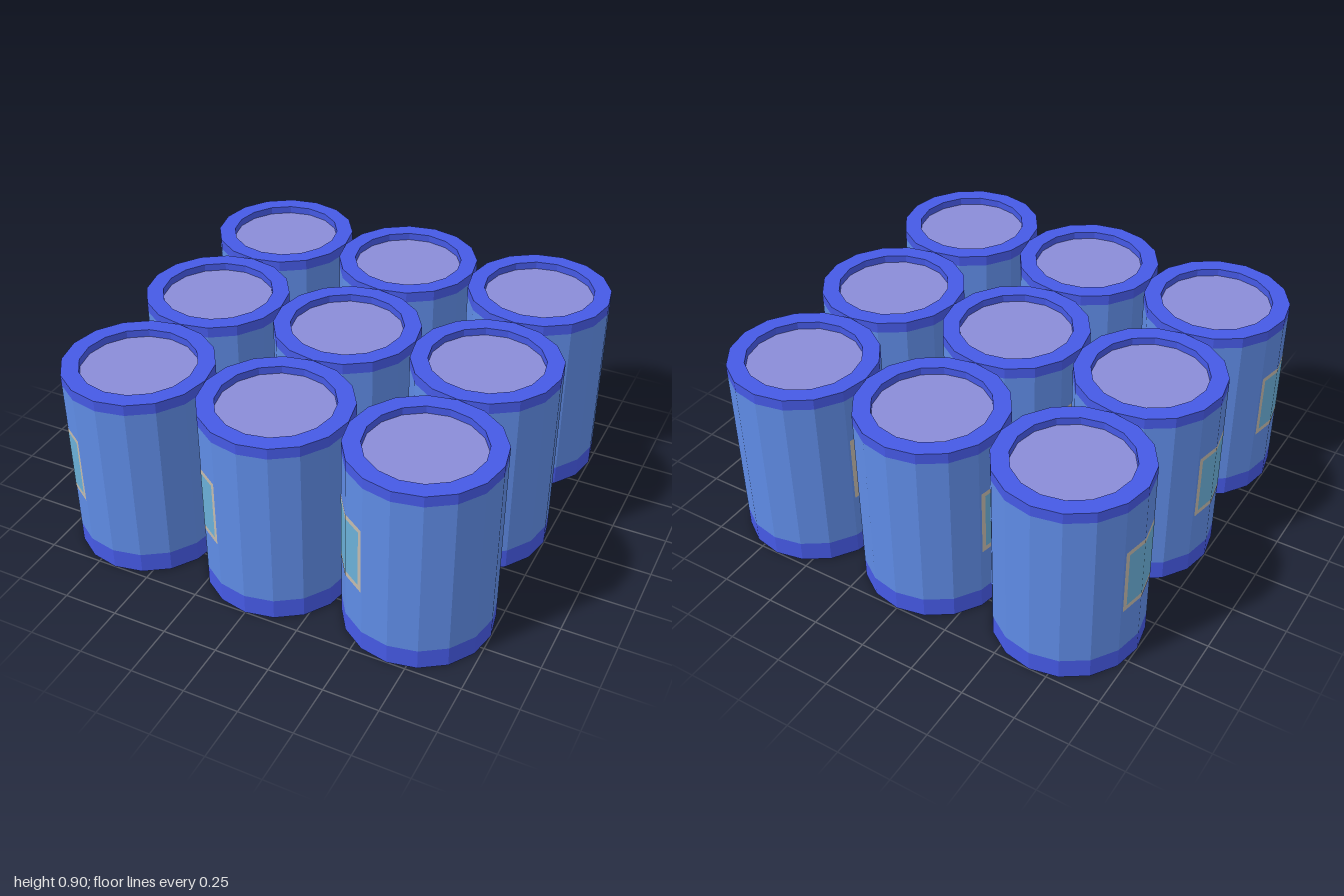
import * as THREE from 'three';

const SIDES = 16, R = 0.3325, INNER = 0.255, SPACING = 0.667;
const STEP = (Math.PI * 2) / SIDES;
const LABEL_START = -5 * STEP; // label covers four facets from here

const paint = (color) => new THREE.MeshStandardMaterial({ color, flatShading: true });
const mats = {
  trim: paint(0x465ae6),
  body: paint(0x5f8ce6),
  lid: paint(0x8a8cd8),
  frame: paint(0xc4bbae),
  panel: paint(0x6ab0d8),
};

// Faceted ring or disc turned from a profile of [radius, height] pairs
function turned(profile) {
  return new THREE.LatheGeometry(profile.map(([r, y]) => new THREE.Vector2(r, y)), SIDES);
}

// Point on the faceted wall; u counts facets from the start of the label
function wallPoint(u, y) {
  const i = Math.floor(u), t = u - i, r = R + 0.0012;
  const a = LABEL_START + i * STEP, b = a + STEP;
  return [
    r * THREE.MathUtils.lerp(Math.sin(a), Math.sin(b), t), y,
    r * THREE.MathUtils.lerp(Math.cos(a), Math.cos(b), t),
  ];
}

// Patch that hugs the facets between u0..u1 and y0..y1
function wallPatch(u0, u1, y0, y1) {
  const us = [u0];
  for (let u = Math.floor(u0) + 1; u < u1; u++) us.push(u);
  us.push(u1);
  const pos = [];
  for (let i = 0; i < us.length - 1; i++) {
    const a = wallPoint(us[i], y0), b = wallPoint(us[i + 1], y0);
    const c = wallPoint(us[i + 1], y1), d = wallPoint(us[i], y1);
    pos.push(...a, ...b, ...c, ...a, ...c, ...d);
  }
  const g = new THREE.BufferGeometry();
  g.setAttribute('position', new THREE.Float32BufferAttribute(pos, 3));
  g.computeVertexNormals();
  return g;
}

// Label extents: outer edge and inner edge of the frame
const U0 = 0.08, U1 = 3.94, V0 = 0.31, V1 = 0.632, BU = 0.17, BV = 0.023;

const parts = [
  ['bottomBand', turned([[0, 0], [R, 0], [R, 0.095]]), mats.trim],
  ['body', turned([[R, 0.095], [R, 0.85]]), mats.body],
  ['topRim', turned([[R, 0.85], [R, 0.9], [INNER, 0.9], [INNER, 0.865]]), mats.trim],
  ['lid', turned([[INNER, 0.865], [0, 0.865]]), mats.lid],
  ['labelPanel', wallPatch(U0 + BU, U1 - BU, V0 + BV, V1 - BV), mats.panel],
  ['labelFrameBottom', wallPatch(U0, U1, V0, V0 + BV), mats.frame],
  ['labelFrameTop', wallPatch(U0, U1, V1 - BV, V1), mats.frame],
  ['labelFrameBack', wallPatch(U0, U0 + BU, V0 + BV, V1 - BV), mats.frame],
  ['labelFrameFront', wallPatch(U1 - BU, U1, V0 + BV, V1 - BV), mats.frame],
];

function createBarrel() {
  const barrel = new THREE.Group();
  for (const [name, geometry, material] of parts) {
    const mesh = new THREE.Mesh(geometry, material);
    mesh.name = name;
    barrel.add(mesh);
  }
  return barrel;
}

export function createModel() {
  const model = new THREE.Group();
  model.name = 'barrelStack';
  // Three by three grid of barrels
  for (let row = -1; row <= 1; row++) {
    for (let col = -1; col <= 1; col++) {
      const barrel = createBarrel();
      barrel.name = `barrel_${row + 2}_${col + 2}`;
      barrel.position.set(col * SPACING, 0, row * SPACING);
      model.add(barrel);
    }
  }
  return model;
}
